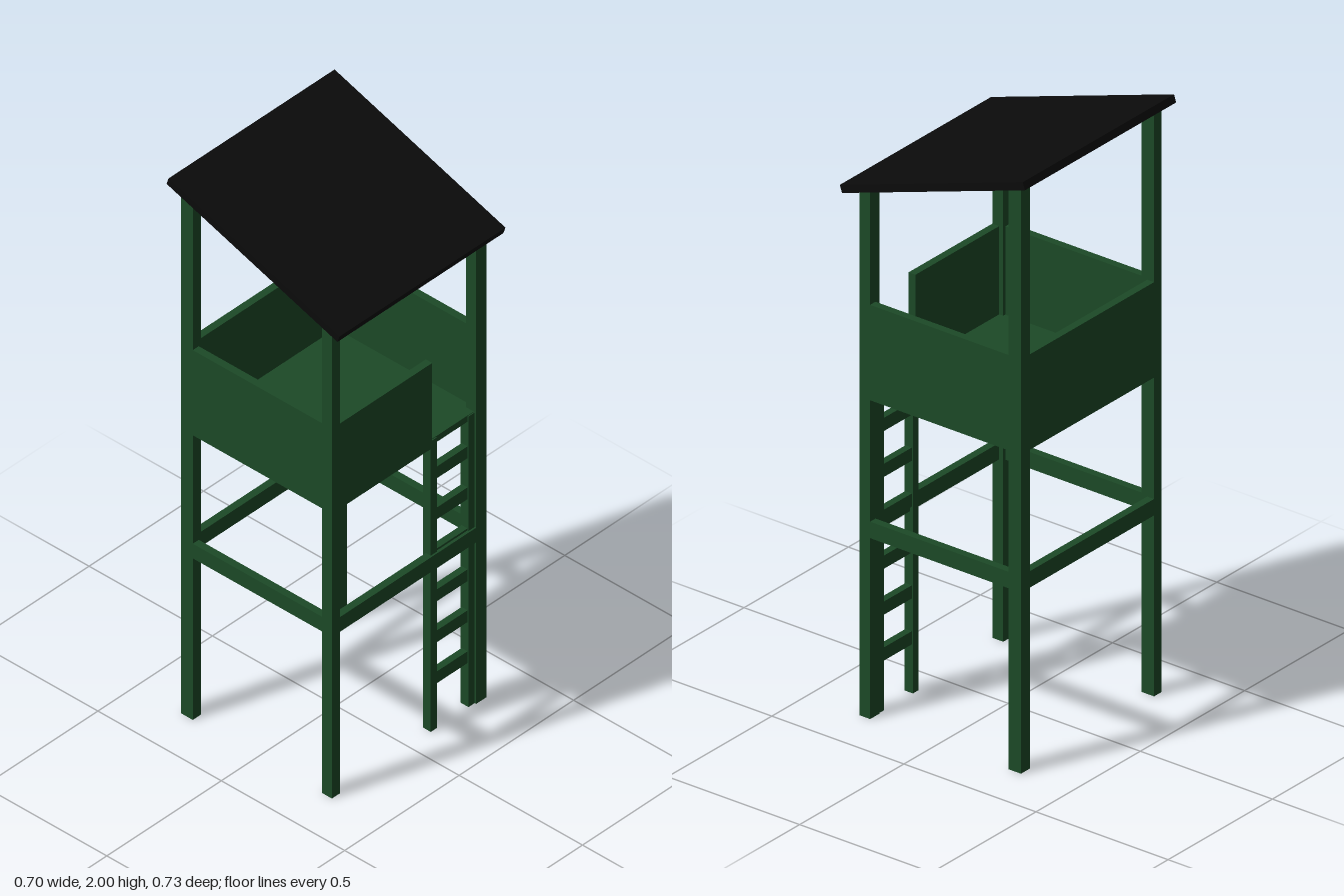
import * as THREE from 'three';

const green = new THREE.MeshStandardMaterial({ color: 0x1c4a27 });
const black = new THREE.MeshStandardMaterial({ color: 0x0b0b0b });

export function createModel() {
  const tower = new THREE.Group();
  tower.name = 'watchtower';

  // Box given by its [min, max] range on each axis
  const box = (name, [x0, x1], [y0, y1], [z0, z1], parent = tower) => {
    const mesh = new THREE.Mesh(new THREE.BoxGeometry(x1 - x0, y1 - y0, z1 - z0), green);
    mesh.position.set((x0 + x1) / 2, (y0 + y1) / 2, (z0 + z1) / 2);
    mesh.name = name;
    parent.add(mesh);
  };

  // Footprint ranges of the corner posts
  const right = [-0.312, -0.264], left = [0.259, 0.3];
  const front = [0.304, 0.34], back = [-0.334, -0.29];

  // Posts, taller under the high side of the roof
  for (const [zName, z] of [['front', front], ['back', back]]) {
    box(zName + 'RightPost', right, [0, 1.96], z);
    box(zName + 'LeftPost', left, [0, 1.773], z);
  }

  // Panels and braces fill the gaps between posts, flush with their outer faces
  const spanX = [right[1], left[0]], spanZ = [back[1], front[0]];
  const ring = (name, y, t, leftSpan) => {
    box('front' + name, spanX, y, [front[1] - t, front[1]]);
    box('back' + name, spanX, y, [back[0], back[0] + t]);
    box('right' + name, [right[0], right[0] + t], y, spanZ);
    box('left' + name, [left[1] - t, left[1]], y, leftSpan);
  };
  const doorEdge = -0.098;
  ring('Panel', [1.066, 1.385], 0.026, [doorEdge, front[0]]); // gap for the ladder
  ring('Brace', [0.605, 0.66], 0.026, spanZ);

  // Platform
  box('floor', [-0.3, 0.29], [1.067, 1.09], [-0.32, 0.33]);

  // Ladder on the left side, next to the back post
  const ladder = new THREE.Group();
  ladder.name = 'ladder';
  tower.add(ladder);
  for (const z of [doorEdge - 0.027, back[1]]) {
    box('ladderRail', [0.262, 0.294], [0, 1.088], [z, z + 0.027], ladder);
  }
  for (let i = 0; i < 6; i++) {
    const y = 0.185 + i * 0.1535;
    box('rung', [0.266, 0.29], [y - 0.022, y + 0.022], [back[1] + 0.027, doorEdge - 0.027], ladder);
  }

  // Sloping roof with a green underside
  const roof = new THREE.Mesh(
    new THREE.BoxGeometry(0.73, 0.026, 0.725),
    [black, black, black, green, black, black]
  );
  roof.name = 'roof';
  roof.position.set(0, 1.872, -0.001);
  roof.rotation.z = -Math.atan(0.333);
  tower.add(roof);

  return tower;
}
